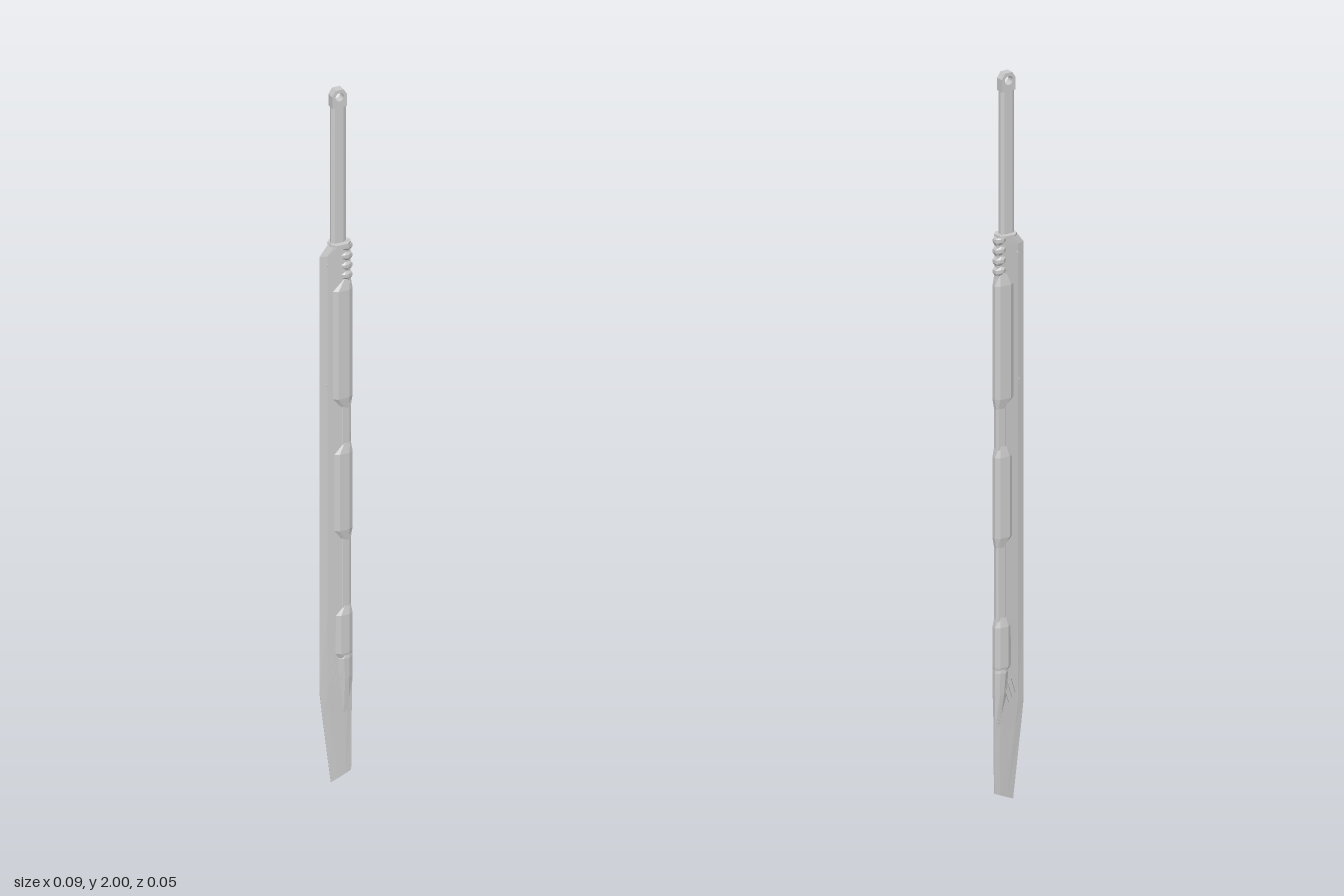
import * as THREE from 'three';

const material = new THREE.MeshStandardMaterial({ color: 0xcccccc, flatShading: true });

function add(parent, name, geometry) {
  const mesh = new THREE.Mesh(geometry, material);
  mesh.name = name;
  parent.add(mesh);
  return mesh;
}

// Closed loft through rings of [x, y, z], counter-clockwise from above, rising in y
function loft(rings) {
  const n = rings[0].length, pos = [];
  const tri = (a, b, c) => pos.push(...a, ...b, ...c);
  for (let r = 0; r < rings.length - 1; r++) {
    for (let i = 0; i < n; i++) {
      const j = (i + 1) % n;
      tri(rings[r][i], rings[r][j], rings[r + 1][j]);
      tri(rings[r][i], rings[r + 1][j], rings[r + 1][i]);
    }
  }
  const bottom = rings[0], top = rings[rings.length - 1];
  for (let i = 1; i < n - 1; i++) {
    tri(bottom[0], bottom[i + 1], bottom[i]);
    tri(top[0], top[i], top[i + 1]);
  }
  const g = new THREE.BufferGeometry();
  g.setAttribute('position', new THREE.Float32BufferAttribute(pos, 3));
  g.computeVertexNormals();
  return g;
}

// Mirror a half section [x, z] (back to front) across z = 0 into a ring
function ring(y, half, slope = 0, x0 = 0) {
  const far = half.map(([x, z]) => [x, y + slope * (x - x0), -z]);
  const near = half.map(([x, z]) => [x, y + slope * (x - x0), z]).reverse();
  return [...far, ...near];
}

export function createModel() {
  const sword = new THREE.Group();
  sword.name = 'sword';

  // Single-edged blade: y, cutting edge x, spine x, thickness, spine thickness, slope
  const stations = [
    [0.005, -0.015, 0.042, 0.003, 0.002, 0.44],
    [0.2, -0.039, 0.043, 0.005, 0.003, 0],
    [0.27, -0.047, 0.043, 0.006, 0.004, 0],
    [0.5, -0.047, 0.039, 0.008, 0.005, 0],
    [1.525, -0.047, 0.038, 0.008, 0.006, 0],
    [1.56, -0.02, 0.038, 0.008, 0.006, 0],
  ];
  add(sword, 'blade', loft(stations.map(([y, xe, xb, t, s, slope]) =>
    ring(y, [[xb, s], [xb - 0.016, t], [xe + 0.02, t * 0.7], [xe, 0.0006]], slope, xe))));

  // Raised spine plates with chamfered ends
  const plateRing = (y, front, back, t, s) =>
    ring(y, [[back, s], [back - 0.012, t * 0.92], [front + 0.014, t], [front, 0.005]]);
  for (const [y0, y1, front, ramp] of [
    [1.07, 1.46, -0.014, 0.04], [0.69, 0.99, -0.01, 0.04], [0.34, 0.52, -0.006, 0.035],
  ]) {
    add(sword, 'spinePlate', loft([
      plateRing(y0, 0.018, 0.038, 0.007, 0.004),
      plateRing(y0 + ramp, front, 0.044, 0.014, 0.006),
      plateRing(y1 - ramp, front, 0.044, 0.014, 0.006),
      plateRing(y1, 0.012, 0.038, 0.007, 0.004),
    ]));
  }

  // Pointed fairing running from the lowest plate toward the tip
  add(sword, 'lowerFairing', loft([
    plateRing(0.2, 0.02, 0.042, 0.004, 0.002),
    plateRing(0.3, 0.006, 0.044, 0.012, 0.005),
    plateRing(0.36, 0.002, 0.044, 0.014, 0.006),
    plateRing(0.38, 0.01, 0.043, 0.011, 0.005),
  ]));

  // Slim rails joining the plates
  for (const [y0, y1] of [[0.5, 0.71], [0.97, 1.09]]) {
    add(sword, 'spineRail', loft([y0, y1].map((y) =>
      ring(y, [[0.04, 0.004], [0.034, 0.008], [0.016, 0.009], [0.008, 0.005]]))));
  }

  // Grip ribs near the top of the spine
  for (let i = 0; i < 4; i++) {
    const y = 1.447 + i * 0.028;
    add(sword, 'spineRib', loft([
      plateRing(y, 0.02, 0.038, 0.008, 0.005),
      plateRing(y + 0.008, 0.008, 0.043, 0.012, 0.006),
      plateRing(y + 0.017, 0.006, 0.043, 0.012, 0.006),
      plateRing(y + 0.025, 0.01, 0.038, 0.008, 0.005),
    ]));
  }

  // Slanted fins above the tip and small rivets, on both faces
  for (const side of [-1, 1]) {
    for (let i = 0; i < 3; i++) {
      const fin = add(sword, 'fin', new THREE.BoxGeometry(0.003, 0.045, 0.004));
      fin.position.set(-0.012 + i * 0.01, 0.32 - i * 0.012, side * 0.007);
      fin.rotation.z = -0.3;
    }
    for (const [x, y] of [[-0.025, 1.5], [-0.028, 1.155]]) {
      const rivet = add(sword, 'rivet', new THREE.CylinderGeometry(0.004, 0.004, 0.003, 8));
      rivet.rotation.x = Math.PI / 2;
      rivet.position.set(x, y, side * 0.006);
    }
  }

  // Thin guard plate
  const guardHalf = [[0.036, 0.01], [0.024, 0.023], [-0.008, 0.023], [-0.02, 0.01]];
  add(sword, 'guard', loft([ring(1.553, guardHalf), ring(1.559, guardHalf)]));

  // Faceted handle
  const handleHalf = [[0.026, 0.004], [0.017, 0.009], [-0.007, 0.009], [-0.016, 0.004]];
  add(sword, 'handle', loft([ring(1.556, handleHalf), ring(1.957, handleHalf)]));

  // Pommel eye with a lanyard hole
  const eye = new THREE.Shape();
  eye.moveTo(-0.016, 1.95);
  eye.lineTo(0.026, 1.95);
  eye.lineTo(0.026, 1.984);
  eye.lineTo(0.016, 2);
  eye.lineTo(-0.006, 2);
  eye.lineTo(-0.016, 1.984);
  eye.closePath();
  const hole = new THREE.Path();
  hole.absarc(0.005, 1.979, 0.012, 0, Math.PI * 2, true);
  eye.holes.push(hole);
  const eyeGeometry = new THREE.ExtrudeGeometry(eye, { depth: 0.022, bevelEnabled: false, curveSegments: 8 });
  eyeGeometry.translate(0, 0, -0.011);
  add(sword, 'pommelEye', eyeGeometry);

  return sword;
}
